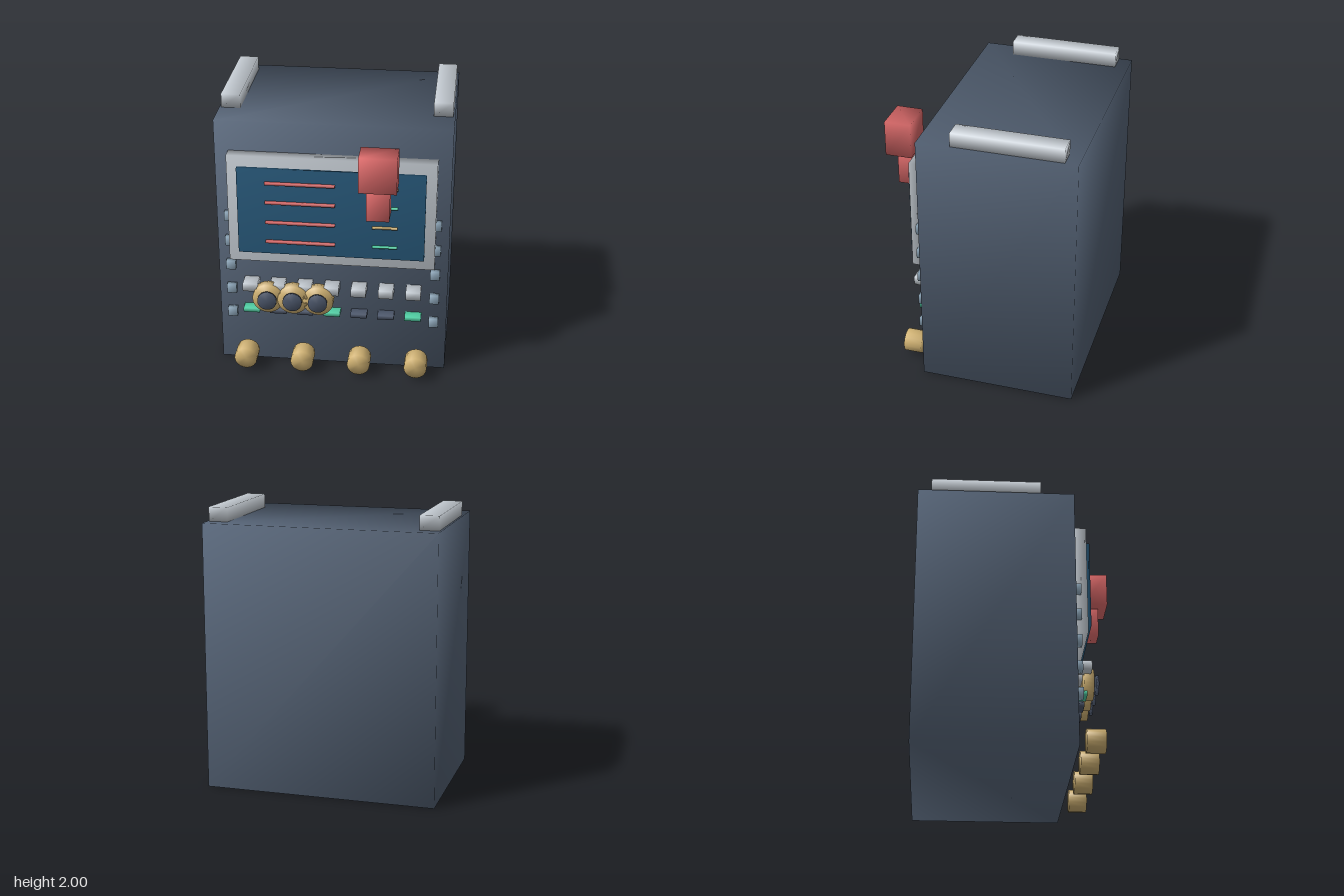
import * as THREE from 'three';
import { mergeVertices } from 'three/addons/utils/BufferGeometryUtils.js';

const mat = (name, color) => {
  const m = new THREE.MeshStandardMaterial({ color });
  m.name = name;
  return m;
};

// Weld all corners so shading flows smoothly over the whole part
function weld(geometry) {
  geometry.deleteAttribute('uv');
  geometry.deleteAttribute('normal');
  const welded = mergeVertices(geometry, 1e-4);
  welded.computeVertexNormals();
  return welded;
}

export function createModel() {
  const model = new THREE.Group();
  model.name = 'controlConsole';
  const slate = mat('slate', 0x556376);
  const silver = mat('silver', 0xc6cdd4);
  const blue = mat('screenBlue', 0x285a7c);
  const red = mat('red', 0xd96868);
  const gold = mat('gold', 0xcfb172);
  const green = mat('green', 0x50d0a5);
  const steel = mat('steelBlue', 0x8fa8bb);
  const dark = mat('darkSlate', 0x4c576b);

  function add(name, geometry, material, x, y, z) {
    const mesh = new THREE.Mesh(weld(geometry), material);
    mesh.name = name;
    mesh.position.set(x, y, z);
    model.add(mesh);
  }
  // Box given by its limits on each axis
  const box = (name, material, [x0, x1], [y0, y1], [z0, z1]) =>
    add(name, new THREE.BoxGeometry(x1 - x0, y1 - y0, z1 - z0), material,
      (x0 + x1) / 2, (y0 + y1) / 2, (z0 + z1) / 2);
  // Disc facing forward
  const disc = (name, material, r, x, y, [z0, z1], sides) =>
    add(name, new THREE.CylinderGeometry(r, r, z1 - z0, sides).rotateX(Math.PI / 2),
      material, x, y, (z0 + z1) / 2);

  // Cabinet and top rails
  box('cabinet', slate, [-0.825, 0.825], [0, 1.9], [-0.73, 0.375]);
  for (const s of [-1, 1]) {
    const x = s * 0.743;
    box('topRail', silver, [x - 0.068, x + 0.068], [1.9, 2], [-0.635, 0.14]);
  }

  // Display
  box('screenFrame', silver, [-0.728, 0.728], [0.868, 1.68], [0.375, 0.463]);
  box('screen', blue, [-0.655, 0.655], [0.95, 1.6], [0.455, 0.493]);
  [1.5, 1.353, 1.2, 1.05].forEach((y, i) => {
    box('longReadout', red, [-0.457, 0.03], [y - 0.009, y + 0.009], [0.493, 0.515]);
    box('shortReadout', i % 2 ? green : gold, [0.29, 0.466], [y - 0.006, y + 0.006], [0.493, 0.515]);
  });

  // Red blocks in front of the display
  box('upperBlock', red, [0.21, 0.47], [1.567, 1.822], [0.54, 0.728]);
  box('lowerBlock', red, [0.26, 0.418], [1.328, 1.55], [0.515, 0.66]);

  // Bolts down both edges
  for (const s of [-1, 1]) {
    for (let i = 0; i < 5; i++) {
      const x = s * 0.733, y = 0.402 + i * 0.195;
      box('bolt', steel, [x - 0.034, x + 0.034], [y - 0.034, y + 0.034], [0.375, 0.416]);
    }
  }

  // Key rows
  for (let i = 0; i < 7; i++) {
    const x = (i - 3) * 0.195;
    box('key', silver, [x - 0.053, x + 0.053], [0.629, 0.69], [0.375, 0.493]);
    box('indicator', i % 3 ? dark : green, [x - 0.059, x + 0.059], [0.434, 0.465], [0.375, 0.455]);
  }

  // Dials with dark caps
  for (let i = 0; i < 3; i++) {
    const x = -0.455 + i * 0.182;
    disc('dial', gold, 0.11, x, 0.588, [0.445, 0.515], 24);
    disc('dialCap', dark, 0.069, x, 0.588, [0.53, 0.552], 20);
  }

  // Round knobs along the bottom
  for (let i = 0; i < 4; i++) {
    disc('bottomKnob', gold, 0.083, (i - 1.5) * 0.413, 0.108, [0.44, 0.57], 16);
  }
  return model;
}
